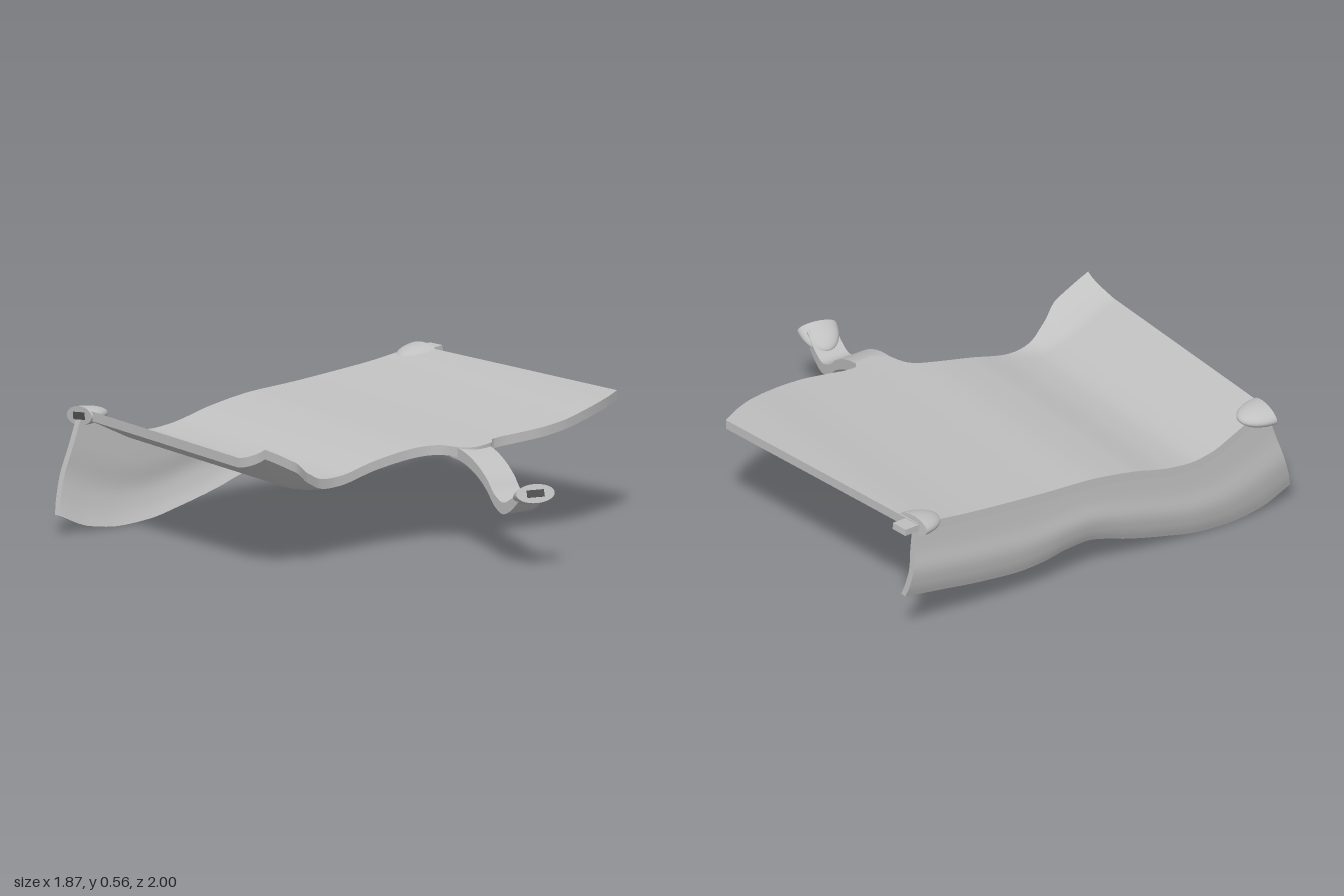
import * as THREE from 'three';
import { mergeGeometries } from 'three/addons/utils/BufferGeometryUtils.js';

const lerp = THREE.MathUtils.lerp;

// Smooth monotone interpolation through [t, value] points
function smooth(pts) {
  const n = pts.length;
  const s = pts.slice(1).map((p, i) => (p[1] - pts[i][1]) / (p[0] - pts[i][0]));
  const m = pts.map((_, i) => {
    if (i === 0) return s[0];
    if (i === n - 1) return s[n - 2];
    return s[i - 1] * s[i] <= 0 ? 0 : (2 * s[i - 1] * s[i]) / (s[i - 1] + s[i]);
  });
  return (t) => {
    let i = 0;
    while (i < n - 2 && t > pts[i + 1][0]) i++;
    const h = pts[i + 1][0] - pts[i][0];
    const k = THREE.MathUtils.clamp((t - pts[i][0]) / h, 0, 1);
    const k2 = k * k, k3 = k2 * k;
    return (2 * k3 - 3 * k2 + 1) * pts[i][1] + (k3 - 2 * k2 + k) * h * m[i]
      + (3 * k2 - 2 * k3) * pts[i + 1][1] + (k3 - k2) * h * m[i + 1];
  };
}

// Grid surface; its normal is d/du x d/dv
function grid(fn, nu, nv) {
  const pos = [], index = [];
  for (let j = 0; j <= nv; j++) for (let i = 0; i <= nu; i++) pos.push(...fn(i / nu, j / nv));
  for (let j = 0; j < nv; j++) for (let i = 0; i < nu; i++) {
    const a = j * (nu + 1) + i, b = a + 1, c = a + nu + 1, d = c + 1;
    index.push(a, b, d, a, d, c);
  }
  const g = new THREE.BufferGeometry();
  g.setAttribute('position', new THREE.Float32BufferAttribute(pos, 3));
  g.setIndex(index);
  g.computeVertexNormals();
  return g;
}

// Closed curved plate between an upper surface f and a lower surface g
function plate(f, g, nu, nv) {
  const rim = (u, v, k) => {
    const p = g(u, v), q = f(u, v);
    return p.map((c, i) => lerp(c, q[i], k));
  };
  return mergeGeometries([
    grid(f, nu, nv),
    grid((u, v) => g(1 - u, v), nu, nv),
    grid((a, b) => rim(1, a, b), nv, 1),
    grid((a, b) => rim(0, 1 - a, b), nv, 1),
    grid((a, b) => rim(a, 0, b), nu, 1),
    grid((a, b) => rim(1 - a, 1, b), nu, 1),
  ]);
}

// Wavy height of the panel along z
const wave = smooth([[-1, 0.553], [-0.84, 0.54], [-0.6, 0.507], [-0.4, 0.487], [-0.2, 0.47],
  [0, 0.457], [0.2, 0.425], [0.4, 0.377], [0.5, 0.367], [0.6, 0.382], [0.7, 0.425], [0.8, 0.473], [0.87, 0.503]]);
// Outline of the panel's free side
const edge = smooth([[-1, 0.24], [-0.9, 0.3], [-0.8, 0.345], [-0.7, 0.377], [-0.6, 0.4], [-0.5, 0.408],
  [-0.4, 0.4], [-0.3, 0.389], [-0.26, 0.392], [-0.23, 0.43], [-0.15, 0.44], [-0.085, 0.4], [-0.07, 0.34],
  [-0.04, 0.305], [0, 0.285], [0.1, 0.265], [0.3, 0.252], [0.4, 0.255], [0.5, 0.272], [0.6, 0.31],
  [0.7, 0.35], [0.85, 0.352]]);
// Lower outline of the side wall, front to back
const hem = smooth([[-0.88, 0.2], [-0.7, 0.172], [-0.5, 0.142], [-0.3, 0.125], [-0.2, 0.132], [-0.1, 0.15],
  [0, 0.157], [0.1, 0.135], [0.2, 0.1], [0.4, 0.045], [0.55, 0.012], [0.7, 0.002], [0.85, 0.02], [1, 0.08]]);
const wallX = smooth([[0, -0.878], [0.35, -0.882], [0.6, -0.89], [0.85, -0.875], [1, -0.855]]);
const armY = smooth([[0.34, 0.43], [0.4, 0.428], [0.47, 0.415], [0.55, 0.385], [0.62, 0.342], [0.68, 0.288],
  [0.74, 0.267], [0.8, 0.29], [0.87, 0.345]]);

function panelTop(u, v) {
  const x = lerp(-0.88, edge(lerp(0.85, -1, v)), u);
  const z = lerp(0.867 - 0.02 * THREE.MathUtils.smoothstep(x, 0.2, 0.35), lerp(-0.84, -1, u), v);
  const curl = 0.068 * Math.pow(Math.max(0, (x - 0.2) / 0.15), 1.4) * THREE.MathUtils.smoothstep(z, 0.35, 0.6);
  return [x, wave(z) - 0.025 * (x + 0.88) + curl, z];
}

function wallOuter(u, v) {
  const s = 1 - u, zTop = lerp(0.865, -0.838, v), zLow = lerp(1, -0.88, v);
  return [wallX(s), lerp(wave(zTop) - 0.008, hem(zLow), s), lerp(zTop, zLow, s)];
}

function armTop(u, v) {
  const x = lerp(0.34, 0.87, u);
  return [x, armY(x), lerp(-0.165, -0.105, u) + lerp(0.073, 0.064, u) * (1 - 2 * v)];
}

const offset = (f, dx, dy) => (u, v) => {
  const p = f(u, v);
  return [p[0] + dx, p[1] + dy, p[2]];
};

export function createModel() {
  const grey = new THREE.MeshStandardMaterial({ color: 0xc0c0c0 });
  grey.name = 'light grey';
  const dark = new THREE.MeshStandardMaterial({ color: 0x505050 });
  dark.name = 'dark grey';
  const model = new THREE.Group();
  model.name = 'curvedPanel';

  const add = (parent, name, geometry, material = grey) => {
    const mesh = new THREE.Mesh(geometry, material);
    mesh.name = name;
    parent.add(mesh);
    return mesh;
  };

  add(model, 'panel', plate(panelTop, offset(panelTop, 0, -0.04), 48, 140));
  add(model, 'sideWall', plate(wallOuter, offset(wallOuter, 0.03, 0), 16, 80));
  add(model, 'arm', plate(armTop, offset(armTop, 0, -0.048), 40, 6));

  // Half-dome connectors, each with a flat face towards dir
  const connector = (name, pos, dir, plug, roll = 0) => {
    const group = new THREE.Group();
    group.name = name;
    group.position.set(...pos);
    group.lookAt(pos[0] + dir[0], pos[1] + dir[1], pos[2] + dir[2]);
    group.rotateZ(roll);
    const dome = new THREE.SphereGeometry(1, 36, 14, 0, Math.PI * 2, 0, Math.PI / 2);
    add(group, 'dome', dome.rotateX(-Math.PI / 2).scale(0.084, 0.039, 0.13));
    add(group, 'domeFace', new THREE.CircleGeometry(1, 36).scale(0.084, 0.039, 1));
    if (plug) add(group, 'plug', new THREE.BoxGeometry(0.075, 0.028, 0.09)).position.z = 0.03;
    else add(group, 'slot', new THREE.BoxGeometry(0.075, 0.03, 0.006), dark);
    model.add(group);
  };
  connector('frontConnector', [-0.86, 0.47, 0.875], [0, 0, 1], false, 0.12);
  connector('backConnector', [-0.848, 0.522, -0.838], [-0.14, 0.08, -1], true);
  connector('armConnector', [0.9, 0.325, -0.1], [0.9, 0.35, 0.22], false);

  return model;
}
